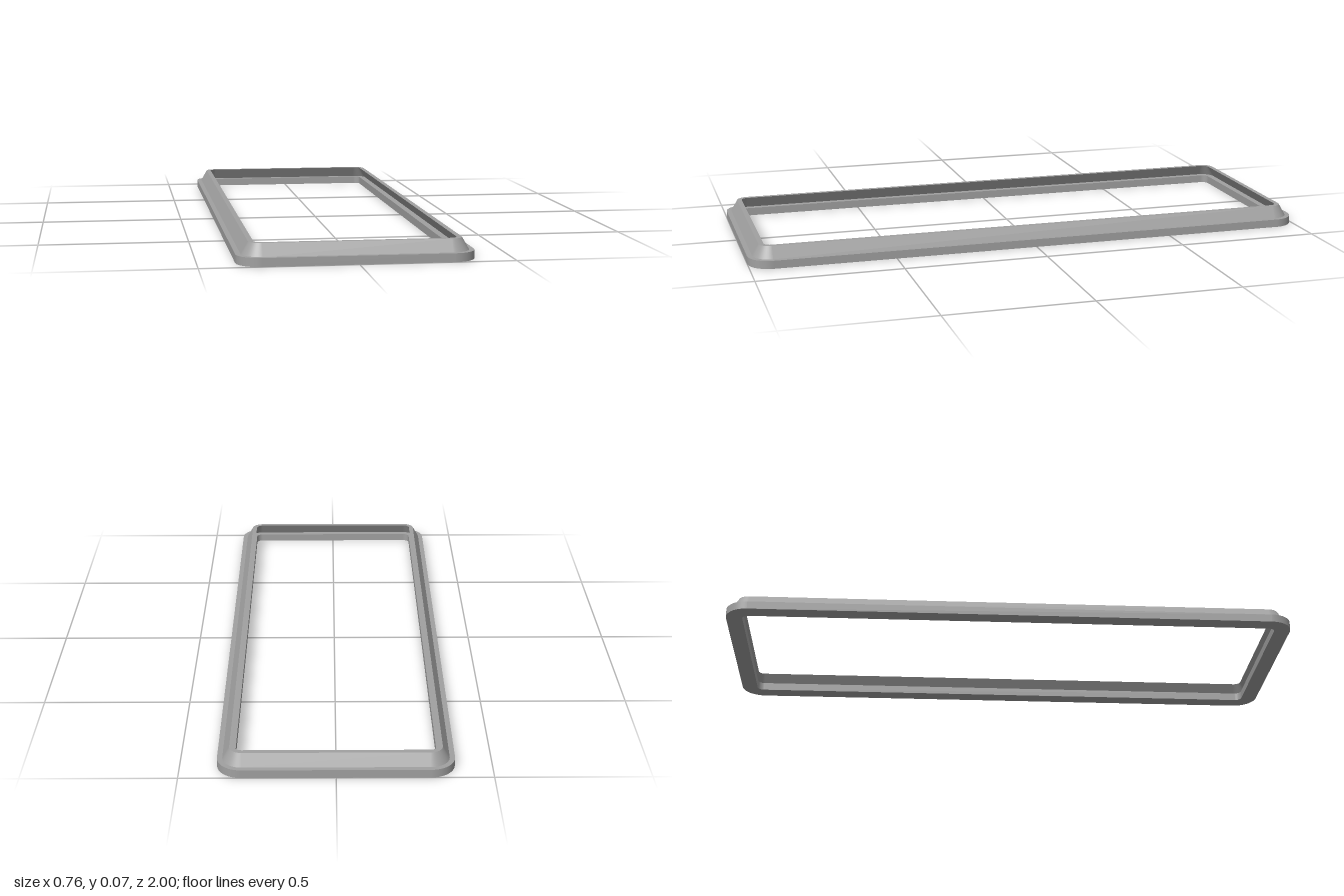
import * as THREE from 'three';

// Straight half-lengths between the corner centres, and steps per corner arc
const CX = 0.30, CZ = 0.92, STEPS = 12;

// Directions around the rounded rectangle with their corner centres
function loopStations() {
  const stations = [];
  const signs = [[1, 1], [-1, 1], [-1, -1], [1, -1]];
  signs.forEach(([sx, sz], corner) => {
    for (let i = 0; i <= STEPS; i++) {
      const a = (corner + i / STEPS) * Math.PI / 2;
      stations.push({ x: sx * CX, z: sz * CZ, c: Math.cos(a), s: Math.sin(a) });
    }
  });
  return stations;
}

// Sweep a profile of [corner radius, height] points around the loop,
// smooth along the loop and sharp between profile segments
function sweepFrame(profile) {
  const pos = [], nor = [], idx = [];
  const stations = loopStations(), n = stations.length;
  for (let k = 0; k < profile.length - 1; k++) {
    const [r0, y0] = profile[k], [r1, y1] = profile[k + 1];
    const len = Math.hypot(r1 - r0, y1 - y0);
    const nr = (y1 - y0) / len, ny = (r0 - r1) / len;
    const base = pos.length / 3;
    stations.forEach(({ x, z, c, s }, i) => {
      pos.push(x + r0 * c, y0, z + r0 * s, x + r1 * c, y1, z + r1 * s);
      nor.push(nr * c, ny, nr * s, nr * c, ny, nr * s);
      const a = base + 2 * i, b = base + 2 * ((i + 1) % n);
      idx.push(a, a + 1, b, a + 1, b + 1, b);
    });
  }
  const geo = new THREE.BufferGeometry();
  geo.setAttribute('position', new THREE.Float32BufferAttribute(pos, 3));
  geo.setAttribute('normal', new THREE.Float32BufferAttribute(nor, 3));
  geo.setIndex(idx);
  return geo;
}

export function createModel() {
  const group = new THREE.Group();
  group.name = 'rectangularFrame';
  const grey = new THREE.MeshStandardMaterial({ color: 0xa0a0a0 });
  grey.name = 'grey';

  const add = (name, profile) => {
    const mesh = new THREE.Mesh(sweepFrame(profile), grey);
    mesh.name = name;
    group.add(mesh);
  };

  // Flat base flange with a ledge on each side of the lip
  add('baseFlange', [[0.023, 0.028], [0.023, 0], [0.08, 0], [0.08, 0.028], [0.063, 0.028]]);
  add('innerLedge', [[0.046, 0.028], [0.023, 0.028]]);
  // Lip leaning inwards
  add('slopedLip', [[0.063, 0.028], [0.04, 0.068], [0.023, 0.068], [0.046, 0.028]]);
  return group;
}
